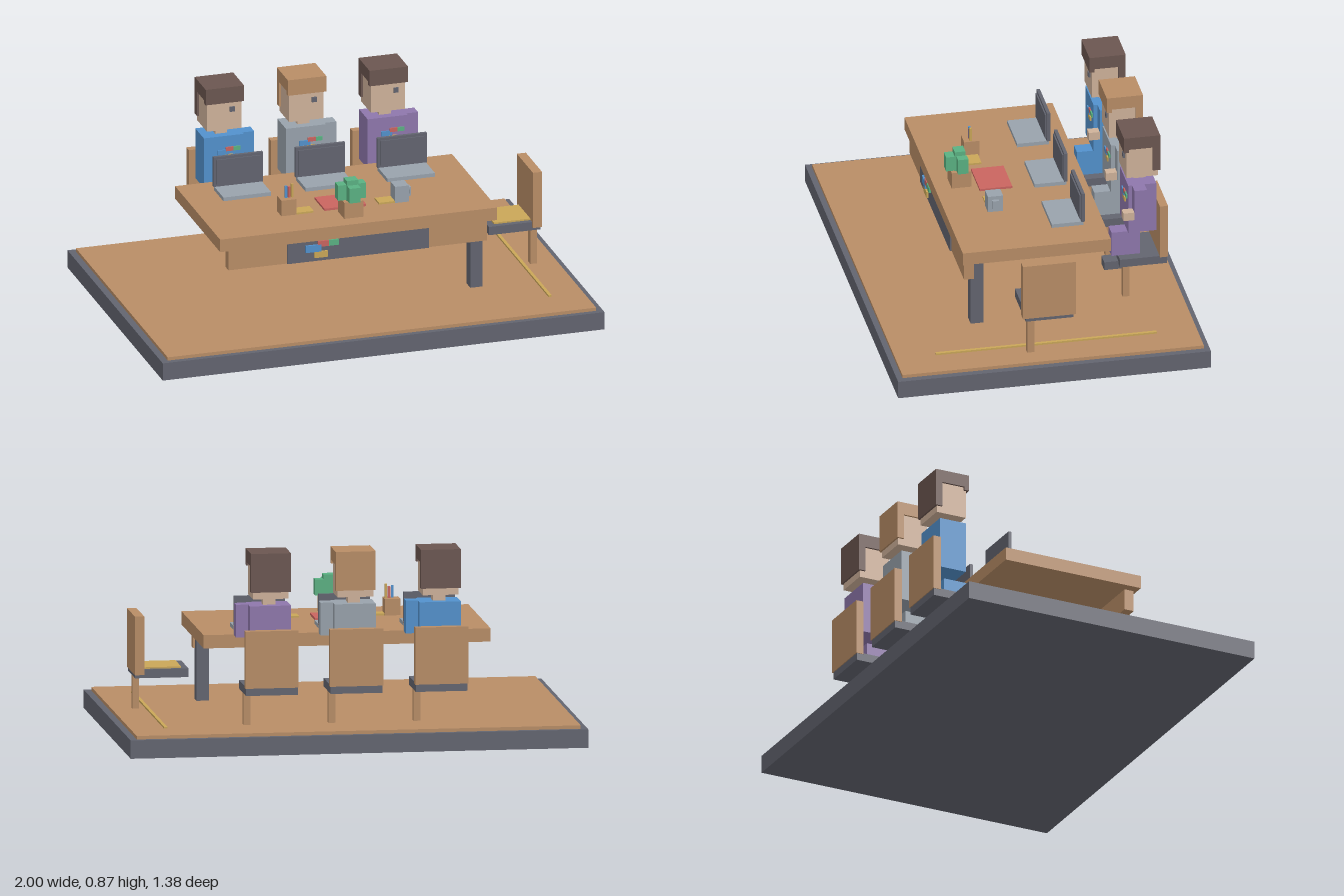
import * as THREE from 'three';

const mat = (name, color) => {
  const m = new THREE.MeshStandardMaterial({ color });
  m.name = name;
  return m;
};

export function createModel() {
  const wood = mat('wood', 0xb88d66), slate = mat('slate', 0x62646f), skin = mat('skin', 0xcfb29a);
  const darkHair = mat('dark hair', 0x6b5650), blue = mat('blue', 0x5291cc), grey = mat('grey', 0x98a2ac);
  const purple = mat('purple', 0x8e77ac), green = mat('green', 0x5ab182), red = mat('red', 0xc9645f);
  const yellow = mat('yellow', 0xc9a658);

  // Box given by its extents on each axis
  const box = (parent, name, m, [x0, x1], [y0, y1], [z0, z1]) => {
    const mesh = new THREE.Mesh(new THREE.BoxGeometry(x1 - x0, y1 - y0, z1 - z0), m);
    mesh.position.set((x0 + x1) / 2, (y0 + y1) / 2, (z0 + z1) / 2);
    mesh.name = name;
    parent.add(mesh);
    return mesh;
  };
  const group = (parent, name, x = 0, y = 0, z = 0) => {
    const g = new THREE.Group();
    g.name = name;
    g.position.set(x, y, z);
    parent.add(g);
    return g;
  };

  // Four coloured blocks used as decoration on the desk and shirts
  const colourBlocks = (parent, x, y, z, s, depth) => {
    const g = group(parent, 'colourBlocks', x, y, z);
    [[blue, -0.075, -0.005, -0.01, 0.022], [red, -0.02, 0.03, 0.012, 0.038],
      [green, 0.03, 0.075, 0.012, 0.038], [yellow, -0.035, 0.025, -0.038, -0.01]].forEach(([m, x0, x1, y0, y1]) =>
      box(g, 'colourBlock', m, [x0 * s, x1 * s], [y0 * s, y1 * s], [0, depth]));
  };

  const model = new THREE.Group();
  model.name = 'officeScene';

  // Floor
  const floor = group(model, 'floor');
  box(floor, 'base', slate, [-1, 1], [0, 0.08], [-0.69, 0.69]);
  box(floor, 'floorBoard', wood, [-0.97, 0.97], [0.08, 0.095], [-0.665, 0.665]);
  box(floor, 'floorStrip', yellow, [0.81, 0.824], [0.095, 0.103], [-0.487, 0.487]);

  // Table
  const table = group(model, 'table');
  box(table, 'tableTop', wood, [-0.627, 0.627], [0.415, 0.473], [-0.325, 0.328]);
  box(table, 'frontPanel', wood, [-0.585, 0.585], [0.32, 0.415], [0.27, 0.314]);
  box(table, 'frontInset', slate, [-0.32, 0.32], [0.32, 0.413], [0.314, 0.322]);
  box(table, 'tableLeg', slate, [0.52, 0.575], [0.095, 0.415], [0.227, 0.283]);
  colourBlocks(table, -0.165, 0.375, 0.322, 1, 0.009);

  // Chair at the table's end
  const endChair = group(model, 'endChair');
  box(endChair, 'seat', slate, [0.66, 0.893], [0.255, 0.293], [-0.105, 0.105]);
  box(endChair, 'cushion', yellow, [0.69, 0.855], [0.293, 0.3], [-0.09, 0.08]);
  box(endChair, 'chairBack', wood, [0.855, 0.896], [0.27, 0.527], [-0.116, 0.118]);
  box(endChair, 'chairLeg', wood, [0.85, 0.88], [0.095, 0.256], [0.065, 0.096]);

  // One worker with chair and laptop
  const workstation = (x, shirt, hair) => {
    const g = group(model, 'workstation', x);

    const chair = group(g, 'chair');
    box(chair, 'seat', slate, [-0.113, 0.113], [0.248, 0.285], [-0.602, -0.395]);
    box(chair, 'chairBack', wood, [-0.116, 0.116], [0.28, 0.53], [-0.606, -0.57]);
    box(chair, 'chairLeg', wood, [0.069, 0.099], [0.095, 0.249], [-0.44, -0.41]);

    const person = group(g, 'person');
    box(person, 'torso', shirt, [-0.09, 0.09], [0.402, 0.633], [-0.56, -0.436]);
    box(person, 'thigh', shirt, [0.012, 0.076], [0.288, 0.402], [-0.49, -0.365]);
    box(person, 'foot', slate, [0.012, 0.076], [0.222, 0.26], [-0.415, -0.333]);
    box(person, 'arm', shirt, [0.09, 0.143], [0.49, 0.633], [-0.508, -0.453]);
    box(person, 'hand', skin, [0.098, 0.138], [0.488, 0.525], [-0.453, -0.405]);
    box(person, 'neck', skin, [-0.027, 0.027], [0.633, 0.665], [-0.525, -0.472]);
    box(person, 'head', skin, [-0.078, 0.078], [0.665, 0.81], [-0.57, -0.43]);
    box(person, 'eye', slate, [0.024, 0.046], [0.748, 0.77], [-0.43, -0.422]);
    box(person, 'hairTop', hair, [-0.087, 0.087], [0.808, 0.865], [-0.578, -0.418]);
    box(person, 'fringe', hair, [-0.087, 0.087], [0.793, 0.808], [-0.44, -0.418]);
    box(person, 'hairBack', hair, [-0.087, 0.087], [0.695, 0.808], [-0.578, -0.546]);
    colourBlocks(person, 0.022, 0.555, -0.436, 0.7, 0.006);

    const laptop = group(g, 'laptop');
    box(laptop, 'keyboard', grey, [-0.108, 0.108], [0.473, 0.49], [-0.235, -0.095]);
    box(laptop, 'screenShell', slate, [-0.112, 0.112], [0.49, 0.627], [-0.24, -0.225]);
    box(laptop, 'screenPanel', slate, [-0.1, 0.1], [0.5, 0.615], [-0.225, -0.219]);
  };
  workstation(-0.372, blue, darkHair);
  workstation(0, grey, wood);
  workstation(0.37, purple, darkHair);

  // Desk items
  const items = group(model, 'deskItems');
  box(items, 'folder', red, [-0.097, 0.092], [0.473, 0.483], [0, 0.143]);
  box(items, 'leftNote', yellow, [-0.23, -0.147], [0.473, 0.481], [0.087, 0.147]);
  box(items, 'rightNote', yellow, [0.15, 0.23], [0.473, 0.481], [0.08, 0.143]);

  // Potted plant
  const plant = group(items, 'plant');
  box(plant, 'pot', wood, [-0.043, 0.043], [0.473, 0.548], [0.17, 0.257]);
  box(plant, 'middleLeaf', green, [-0.026, 0.026], [0.548, 0.64], [0.193, 0.24]);
  for (const s of [-1, 1]) {
    const leaf = box(plant, 'sideLeaf', green, [0.026, 0.063], [0.55, 0.62], [0.187, 0.233]);
    leaf.position.x *= s;
  }
  box(plant, 'frontLeaf', green, [-0.025, 0.025], [0.55, 0.618], [0.24, 0.278]);

  // Pencil cup
  const cup = group(items, 'pencilCup');
  box(cup, 'cup', wood, [-0.293, -0.225], [0.473, 0.545], [0.08, 0.147]);
  [[blue, 0.6], [red, 0.595], [yellow, 0.606]].forEach(([m, top], i) => {
    const x = -0.268 + i * 0.014;
    box(cup, 'pencil', m, [x, x + 0.01], [0.545, top], [0.112, 0.122]);
  });

  // Mug with a square handle
  const mug = group(items, 'mug');
  box(mug, 'mugBody', grey, [0.222, 0.284], [0.473, 0.548], [0.08, 0.147]);
  for (const y of [0.492, 0.522]) box(mug, 'handleBar', grey, [0.284, 0.3], [y, y + 0.01], [0.1, 0.13]);
  box(mug, 'handleGrip', grey, [0.292, 0.3], [0.502, 0.522], [0.1, 0.13]);

  return model;
}
